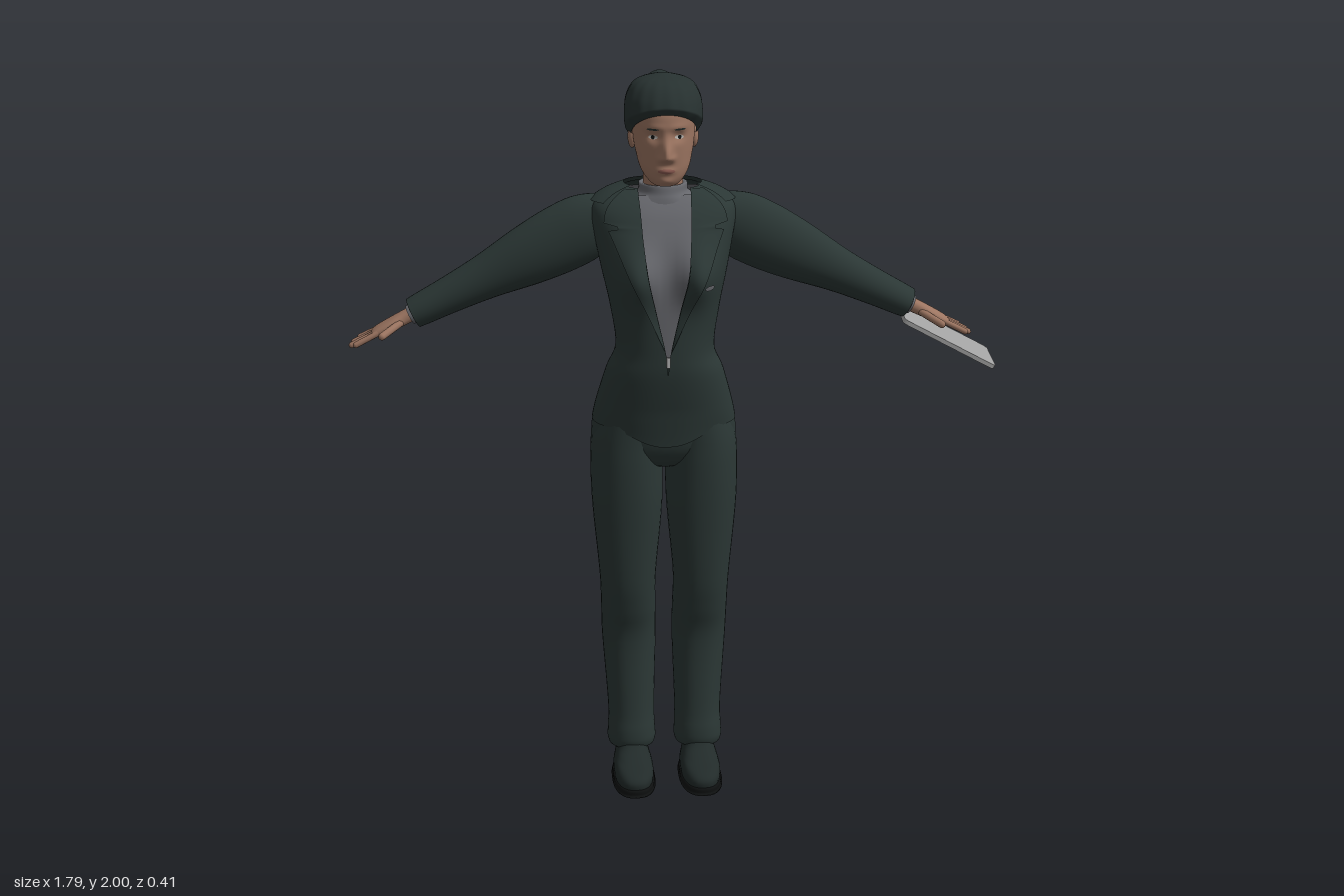
import * as THREE from 'three';
import { mergeVertices } from 'three/addons/utils/BufferGeometryUtils.js';

const mat = (name, color, double) => {
  const m = new THREE.MeshStandardMaterial({ color });
  m.name = name;
  if (double) m.side = THREE.DoubleSide;
  return m;
};
const M = {
  suit: mat('suit', 0x2b3735, true), hair: mat('hair', 0x273130, true), shirt: mat('shirt', 0x65666b, true),
  skin: mat('skin', 0x9c7561), shoe: mat('shoe', 0x222b2a), sole: mat('sole', 0x0e1010),
  tablet: mat('tablet', 0xa2a2a2), silver: mat('silver', 0xb4b4b4),
  eye: mat('eyeWhite', 0xb9b4ae, true), lips: mat('lips', 0x8a5a50, true),
};
const TAU = Math.PI * 2;
const bump = (d, w) => Math.exp(-((d / w) ** 2));
const clamp = THREE.MathUtils.clamp;

function add(parent, name, geometry, material, x = 0, y = 0, z = 0) {
  const mesh = new THREE.Mesh(geometry, material);
  mesh.name = name;
  mesh.position.set(x, y, z);
  parent.add(mesh);
  return mesh;
}

// Smooth grid surface from a point rule fn(u, v) -> [x, y, z]
function surface(fn, nu, nv) {
  const pos = [], idx = [];
  for (let j = 0; j <= nv; j++) for (let i = 0; i <= nu; i++) pos.push(...fn(i / nu, j / nv));
  for (let j = 0; j < nv; j++) for (let i = 0; i < nu; i++) {
    const a = j * (nu + 1) + i, b = a + 1, c = a + nu + 1, d = c + 1;
    idx.push(a, b, d, a, d, c);
  }
  let g = new THREE.BufferGeometry();
  g.setAttribute('position', new THREE.Float32BufferAttribute(pos, 3));
  g.setIndex(idx);
  g = mergeVertices(g, 1e-5);
  g.computeVertexNormals();
  return g;
}

// Smooth interpolation between cross-section rows
function sample(rows, t) {
  const n = rows.length, i = clamp(Math.floor(t), 0, n - 2), f = t - i;
  const r = k => rows[clamp(i + k, 0, n - 1)];
  return rows[i].map((_, k) => {
    const [a, b, c, d] = [r(-1)[k], r(0)[k], r(1)[k], r(2)[k]];
    return b + 0.5 * f * (c - a + f * (2 * a - 5 * b + 4 * c - d + f * (3 * (b - c) + d - a)));
  });
}

// Rounded cross-section; row = [y, centreX, halfWidth, zFront, zBack]
const spow = (v, p) => Math.sign(v) * Math.abs(v) ** p;
function section(rows, a, t, p = 0.9, off = 0) {
  const [y, cx, rx, zf, zb] = sample(rows, t);
  return [cx + Math.max(0, rx) * spow(Math.sin(a), p) + off * Math.sin(a), y,
    (zf + zb) / 2 + (zf - zb) / 2 * spow(Math.cos(a), p) + off * Math.cos(a)];
}
const loft = (rows, p = 0.9, nu = 32, per = 5) =>
  surface((u, v) => section(rows, u * TAU, v * (rows.length - 1), p), nu, (rows.length - 1) * per);

// Small elliptical patch lying on a point rule at(a, t, offset)
const patch = (at, a0, t0, da, dt, off) => surface((u, v) => {
  const r = 1 - v, w = u * TAU;
  return at(a0 + r * da * Math.cos(w), t0 + r * dt * Math.sin(w), off);
}, 16, 4);

// ---- Jacket: last column is the half-width of the front opening
const JACKET = [
  [1.05, 0, .198, .115, -.158, 0], [1.1, 0, .188, .128, -.15, 0], [1.2, 0, .16, .147, -.112, 0],
  [1.27, 0, .134, .15, -.097, .006], [1.38, 0, .148, .148, -.105, .03], [1.48, 0, .17, .14, -.135, .052],
  [1.56, 0, .186, .122, -.142, .062], [1.62, 0, .196, .095, -.142, .066], [1.655, 0, .188, .07, -.138, .068],
  [1.68, 0, .15, .045, -.13, .07], [1.695, 0, .1, .025, -.12, .07]];
const TOP = JACKET.length - 1;
function jacketAt(a, t, off = 0) {
  const q = section(JACKET, a, t, 0.85, off), c = Math.max(0, Math.cos(a));
  q[2] += 0.05 * Math.min(1, c * 3) * bump(Math.abs(q[0]) - 0.085, 0.055) * bump(q[1] - 1.48, 0.075);
  if (t < 1) q[1] -= (1 - t) * 0.05 * c ** 8;
  return q;
}
const opening = t => {
  const r = sample(JACKET, t);
  return Math.asin(clamp(Math.max(0, r[5]) / r[2], 0, 1) ** (1 / 0.85));
};

function buildJacket(body) {
  add(body, 'jacket', surface((u, v) => {
    const t = v * TOP, o = opening(t);
    return jacketAt(o + u * (TAU - 2 * o), t);
  }, 72, 60), M.suit);
  // Shirt inside the opening, and its stand-up collar
  add(body, 'shirt', surface((u, v) => jacketAt(u * TAU, 2.8 + v * 6.2, -0.011), 64, 36), M.shirt);
  add(body, 'shirtCollar', loft([[1.64, 0, .15, .06, -.11], [1.67, 0, .09, .052, -.112], [1.685, 0, .068, .046, -.105],
    [1.705, 0, .065, .04, -.102], [1.703, 0, .05, .03, -.09]], 1), M.shirt);
  // Notched lapels
  const lapelWidth = t => t < 6.6 ? 0.15 * (t - 3.1) : t < 6.8 ? 0.34 : 0.6 - 0.07 * (t - 6.8);
  for (const s of [1, -1]) {
    add(body, 'lapel', surface((u, v) => {
      const t = 3.1 + v * 6.7;
      return jacketAt(s * (opening(t) + u * lapelWidth(t)), t, 0.004 + 0.008 * u);
    }, 8, 60), M.suit);
    // Back tails either side of the vent
    add(body, 'jacketTail', surface((u, v) => [s * (0.003 + 0.15 * u), 0.875 + 0.235 * v + 0.012 * u,
      -0.164 + 0.065 * u * u + 0.004 * Math.sin(u * 14) * (1 - v)], 16, 8), M.suit);
  }
  add(body, 'jacketCollar', surface((u, v) => {
    const q = jacketAt(0.95 + u * (TAU - 1.9), 8.2 + v * 1.8, 0.013 - 0.008 * v);
    q[1] += 0.008 * v;
    return q;
  }, 40, 8), M.suit);
  add(body, 'pocketSquare', patch(jacketAt, 0.6, 4.75, 0.1, 0.07, 0.014), M.shirt);
  add(body, 'zipPull', new THREE.BoxGeometry(0.01, 0.028, 0.008), M.silver, 0, 1.25, 0.153);
}

// ---- Head: chin to crown
const HEAD = [
  [1.712, 0, 0, .07, .05], [1.715, 0, .03, .083, .02], [1.735, 0, .052, .094, -.02], [1.76, 0, .066, .097, -.05],
  [1.79, 0, .074, .099, -.08], [1.82, 0, .08, .1, -.1], [1.86, 0, .084, .101, -.115], [1.9, 0, .086, .1, -.117],
  [1.94, 0, .08, .082, -.107], [1.97, 0, .058, .048, -.082], [1.985, 0, 0, -.018, -.02]];
function headAt(a, t, off = 0) {
  const q = section(HEAD, a, t, 0.95, off), [x, y] = q, ax = Math.abs(x);
  if (Math.cos(a) > 0) {
    const dy = y - 1.795;
    q[2] += 0.031 * bump(x, 0.014) * bump(dy, dy > 0 ? 0.04 : 0.012)   // nose
      + 0.006 * bump(ax - 0.016, 0.009) * bump(y - 1.79, 0.01)         // nostrils
      - 0.01 * bump(ax - 0.033, 0.018) * bump(y - 1.848, 0.014)        // eye sockets
      + 0.007 * bump(x, 0.022) * bump(y - 1.757, 0.009)                // mouth
      + 0.005 * bump(x, 0.02) * bump(y - 1.728, 0.01)                  // chin
      + 0.004 * bump(ax - 0.03, 0.03) * bump(y - 1.872, 0.01);         // brow
  }
  return q;
}

function buildHead(body) {
  add(body, 'head', surface((u, v) => headAt(u * TAU, v * 10), 96, 90), M.skin);
  add(body, 'neck', loft([[1.64, 0, .06, .035, -.09], [1.7, 0, .054, .035, -.085], [1.74, 0, .054, .04, -.085],
    [1.8, 0, .056, .04, -.09]], 1), M.skin);
  add(body, 'lips', patch(headAt, 0, 2.88, 0.34, 0.24, 0.0015), M.lips);
  for (const s of [1, -1]) {
    add(body, 'eye', patch(headAt, s * 0.41, 5.67, 0.16, 0.13, 0.0015), M.eye);
    add(body, 'iris', patch(headAt, s * 0.41, 5.67, 0.065, 0.13, 0.0025), M.sole);
    add(body, 'eyebrow', patch(headAt, s * 0.42, 6.2, 0.2, 0.07, 0.002), M.hair);
    add(body, 'ear', new THREE.SphereGeometry(1, 14, 10).scale(0.012, 0.03, 0.018), M.skin, s * 0.083, 1.83, -0.018);
  }
  // Hair shell, swept back from a hairline that drops toward the nape
  add(body, 'hair', surface((u, v) => {
    const a = u * TAU, low = 3.3 + 3.85 * (0.5 + 0.5 * Math.cos(a)) ** 0.8, t = low + v * (10 - low);
    const lift = (0.003 + 0.016 * Math.min(1, v * 7)) * (1 + 0.05 * Math.sin(a * 16));
    const tilt = clamp((t - 7.5) / 2.5, 0, 1) * Math.PI / 2;
    const q = section(HEAD, a, t, 0.95, lift * Math.cos(tilt));
    q[1] += 0.016 * Math.sin(tilt);
    return q;
  }, 96, 50), M.hair);
  add(body, 'hairBun', new THREE.SphereGeometry(0.043, 24, 18), M.hair, 0, 1.945, -0.138);
}

// ---- Arms: built along local y, then swung outward and down
function buildArm(body, s) {
  const arm = new THREE.Group();
  arm.name = s > 0 ? 'leftArm' : 'rightArm';
  arm.position.set(s * 0.17, 1.6, -0.05);
  arm.rotation.z = -s * THREE.MathUtils.degToRad(116.2);
  body.add(arm);
  add(arm, 'sleeve', loft([[-.06, 0, 0, 0, 0], [-.04, 0, .055, .045, -.05], [.03, 0, .088, .06, -.062],
    [.111, 0, .093, .064, -.064], [.217, 0, .083, .063, -.062], [.345, 0, .062, .055, -.056],
    [.46, 0, .05, .052, -.054], [.555, 0, .043, .05, -.052], [.565, 0, .037, .044, -.046],
    [.55, 0, 0, 0, 0]], 1), M.suit);
  add(arm, 'shirtCuff', new THREE.CylinderGeometry(0.03, 0.03, 0.04, 24).scale(0.9, 1, 1.15), M.shirt, 0, 0.557, 0);
  for (let i = 0; i < 3; i++)
    add(arm, 'cuffButton', new THREE.SphereGeometry(0.006, 8, 6), M.silver, s * -0.012, 0.5 + i * 0.018, -0.051);
  // Palm, four fingers and thumb
  add(arm, 'palm', loft([[.54, 0, .019, .024, -.026], [.59, 0, .019, .026, -.028], [.63, 0, .017, .036, -.036],
    [.67, 0, .014, .037, -.037], [.69, 0, .009, .032, -.032], [.695, 0, 0, 0, 0]], 0.85, 24), M.skin);
  [[.029, .066, .1], [.01, .08, .03], [-.009, .074, -.03], [-.027, .056, -.12]].forEach(([z, len, lean]) => {
    const f = add(arm, 'finger', new THREE.CapsuleGeometry(0.0085, len, 4, 10), M.skin,
      0, 0.675 + len / 2, z + lean * len / 2);
    f.rotation.x = lean;
  });
  const thumb = add(arm, 'thumb', new THREE.CapsuleGeometry(0.0105, 0.07, 4, 10), M.skin, s * 0.004, 0.636, 0.047);
  thumb.rotation.x = 0.72;
}

// ---- Trousers and shoes
function buildLeg(body, s) {
  const x = s * 0.095;
  add(body, 'trouserLeg', loft([[.1, x, 0, 0, -.02], [.078, x, .055, .045, -.075], [.095, x, .068, .06, -.086],
    [.13, x, .067, .061, -.088], [.2, x, .066, .052, -.1], [.4, s * .099, .076, .041, -.12],
    [.5, s * .101, .077, .062, -.112], [.6, s * .103, .079, .08, -.1], [.8, s * .103, .097, .095, -.112],
    [.92, s * .104, .1, .1, -.14], [1, s * .102, .098, .1, -.155], [1.08, s * .09, .09, .1, -.148]], 0.92, 36), M.suit);
  add(body, 'shoe', loft([[.012, x, .054, .195, -.062], [.035, x, .056, .196, -.064], [.052, x, .052, .175, -.064],
    [.066, x, .047, .12, -.063], [.085, x, .042, .07, -.06], [.12, x, .036, .04, -.055]], 0.8), M.shoe);
  add(body, 'shoeSole', loft([[0, x, 0, .06, .06], [0, x, .057, .2, -.066], [0.002, x, .058, .201, -.067],
    [.016, x, .058, .201, -.067], [.018, x, .05, .19, -.06]], 0.8, 32, 3), M.sole);
}

// ---- Tablet held flat under the left hand
function buildTablet(root) {
  const w = 0.144, h = 0.1, r = 0.016, shape = new THREE.Shape();
  [[1, 1], [-1, 1], [-1, -1], [1, -1]].forEach(([sx, sy], i) =>
    shape.absarc(sx * (w - r), sy * (h - r), r, i * Math.PI / 2, (i + 1) * Math.PI / 2, false));
  const g = new THREE.ExtrudeGeometry(shape, { depth: 0.012, bevelEnabled: false, curveSegments: 6 });
  g.translate(0, 0, -0.006).rotateX(-Math.PI / 2);
  const tablet = add(root, 'tablet', g, M.tablet, 0.757, 1.241, -0.095);
  tablet.rotation.set(0, -0.075, -0.485);
}

export function createModel() {
  const root = new THREE.Group(), body = new THREE.Group();
  root.name = 'standingWoman';
  body.name = 'body';
  body.position.x = -0.04;
  root.add(body);
  buildJacket(body);
  buildHead(body);
  add(body, 'hips', loft([[.91, 0, 0, 0, -.03], [.93, 0, .1, .06, -.09], [.97, 0, .19, .09, -.14],
    [1.02, 0, .2, .102, -.157], [1.08, 0, .19, .11, -.148], [1.16, 0, .165, .12, -.115]], 0.88, 40), M.suit);
  for (const s of [1, -1]) {
    buildArm(body, s);
    buildLeg(body, s);
  }
  buildTablet(root);
  return root;
}
